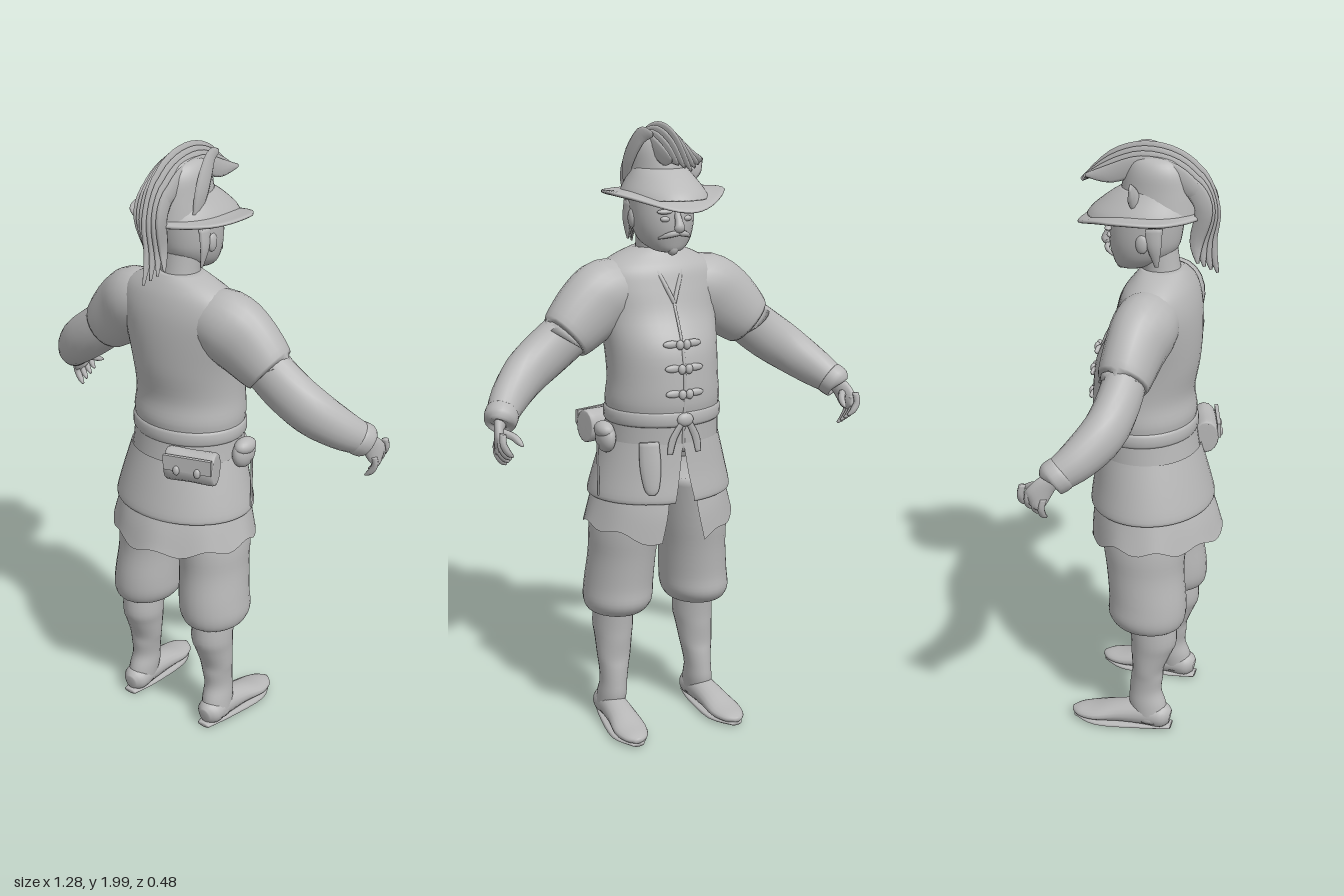
import * as THREE from 'three';

const V = (x, y, z) => new THREE.Vector3(x, y, z);
const UP = V(0, 1, 0);

// Smooth interpolation through rows of numbers
function refine(rows, steps) {
  const out = [], last = rows.length - 1;
  for (let i = 0; i < last; i++) {
    const [a, b, c, d] = [rows[Math.max(i - 1, 0)], rows[i], rows[i + 1], rows[Math.min(i + 2, last)]];
    for (let s = 0; s < steps; s++) {
      const t = s / steps;
      out.push(b.map((_, k) => b[k] + 0.5 * t * (c[k] - a[k] +
        t * (2 * a[k] - 5 * b[k] + 4 * c[k] - d[k] + t * (3 * (b[k] - c[k]) + d[k] - a[k])))));
    }
  }
  out.push(rows[last]);
  return out;
}

// Surface through rings of points; closed rings get end caps
function skin(rings, closed = true) {
  const n = rings[0].length, pts = rings.flat(), index = [];
  for (let i = 0; i < rings.length - 1; i++)
    for (let j = 0; j < (closed ? n : n - 1); j++) {
      const a = i * n + j, b = i * n + (j + 1) % n;
      index.push(a, a + n, b, b, a + n, b + n);
    }
  if (closed) for (const end of [0, rings.length - 1]) {
    const mid = V(0, 0, 0), c = pts.length, base = end * n;
    rings[end].forEach(p => mid.addScaledVector(p, 1 / n));
    pts.push(mid);
    for (let j = 0; j < n; j++) {
      const a = base + j, b = base + (j + 1) % n;
      end ? index.push(c, b, a) : index.push(c, a, b);
    }
  }
  const g = new THREE.BufferGeometry().setFromPoints(pts);
  g.setIndex(index);
  g.computeVertexNormals();
  return g;
}

// Upright loft. Rows, bottom to top: [y, centre x, centre z, half width, half depth, front gap]
function loft(rows, { n = 32, open = false, hem = null, steps = 4 } = {}) {
  const rings = refine(rows, steps).map(([y, cx, cz, rx, rz, gap = 0], i) =>
    Array.from({ length: n }, (_, j) => {
      const a = open ? gap + (2 * Math.PI - 2 * gap) * j / (n - 1) : 2 * Math.PI * j / n;
      const p = V(cx + rx * Math.sin(a), y, cz - rz * Math.cos(a));
      return hem ? hem(p, a, i) : p;
    }));
  return skin(rings, !open);
}

// Loft along a path. Rows: [x, y, z, half width sideways, half height]
function limb(rows, { n = 14, steps = 4, side = null } = {}) {
  const s = refine(rows, steps), at = i => V(...s[Math.min(Math.max(i, 0), s.length - 1)]);
  return skin(s.map(([x, y, z, rs, ru], i) => {
    const T = at(i + 1).sub(at(i - 1)).normalize();
    const S = side ? side.clone() : T.clone().cross(UP).normalize();
    const U = S.clone().cross(T).normalize();
    return Array.from({ length: n }, (_, j) => {
      const a = 2 * Math.PI * j / n;
      return V(x, y, z).addScaledVector(S, rs * Math.cos(a)).addScaledVector(U, ru * Math.sin(a));
    });
  }));
}

export function createModel() {
  const model = new THREE.Group();
  const clay = new THREE.MeshStandardMaterial({ color: 0xb8b8b8, side: THREE.DoubleSide });
  clay.name = 'clayGrey';
  const add = (name, geo, parent = model, pos = [0, 0, 0], scale = [1, 1, 1]) => {
    const m = new THREE.Mesh(geo, clay);
    m.name = name;
    m.position.set(...pos);
    m.scale.set(...scale);
    parent.add(m);
    return m;
  };
  const ball = new THREE.SphereGeometry(1, 20, 14);

  // Tunic body, split skirt and belt
  add('tunicBody', loft([
    [0.97, 0, -0.01, 0.193, 0.168], [1.08, 0, -0.02, 0.187, 0.163], [1.13, 0, -0.022, 0.19, 0.168],
    [1.2, 0, -0.025, 0.184, 0.163], [1.3, 0, -0.01, 0.187, 0.165], [1.4, 0, 0.018, 0.2, 0.142],
    [1.48, 0, 0.028, 0.215, 0.127], [1.54, 0, 0.03, 0.2, 0.11], [1.58, 0, 0.035, 0.14, 0.085],
    [1.605, 0, 0.035, 0.075, 0.066]], { n: 40 }));
  add('tunicSkirt', loft([
    [0.805, 0, 0.005, 0.236, 0.196, 0.14], [0.82, 0, 0.005, 0.242, 0.202, 0.13],
    [0.9, 0, 0, 0.222, 0.187, 0.07], [1.0, 0, -0.01, 0.194, 0.169, 0.01]], { n: 44, open: true }));
  add('belt', loft([
    [1.055, 0, -0.02, 0.186, 0.163], [1.065, 0, -0.02, 0.194, 0.17],
    [1.095, 0, -0.02, 0.194, 0.17], [1.105, 0, -0.02, 0.186, 0.163]], { n: 40, steps: 2 }));

  // Shirt tail with a ragged hem, open at the front
  add('shirtTail', loft([
    [0.715, 0, 0.012, 0.256, 0.206, 0.3], [0.78, 0, 0.008, 0.238, 0.198, 0.24],
    [0.84, 0, 0.005, 0.222, 0.183, 0.2]], {
    n: 64, open: true,
    hem: (p, a, i) => {
      const k = Math.max(0, 1 - i / 8), back = Math.max(0, -Math.cos(a));
      p.z += k * 0.022 * back ** 8;
      p.y += k * (0.01 * Math.sin(a * 9) - 0.05 * Math.max(0, Math.cos(a)) ** 3 - 0.015 * back);
      return p;
    },
  }));

  // Neckline, front seam and toggles
  for (const s of [-1, 1])
    add('neckline', limb([[s * 0.066, 1.595, 0.0, 0.008, 0.008], [s * 0.04, 1.535, -0.072, 0.008, 0.008],
      [0, 1.44, -0.112, 0.007, 0.007]], { n: 8 }));
  add('frontSeam', limb([[0, 1.44, -0.11, 0.005, 0.004], [0, 1.32, -0.168, 0.005, 0.004],
    [0, 1.2, -0.189, 0.005, 0.004], [0, 1.0, -0.179, 0.005, 0.004]], { n: 8, side: V(1, 0, 0) }));
  [[1.32, -0.17], [1.245, -0.185], [1.165, -0.19]].forEach(([y, z]) => {
    const toggle = new THREE.Group();
    toggle.name = 'toggle';
    toggle.position.set(0, y, z);
    model.add(toggle);
    for (const s of [-1, 1]) {
      add('toggleLoop', ball, toggle, [s * 0.038, 0, 0.003], [0.028, 0.012, 0.009]);
      add('toggleBead', ball, toggle, [s * 0.012, -0.002, -0.008], [0.013, 0.016, 0.01]);
    }
  });
  add('beltKnot', ball, model, [0, 1.08, -0.192], [0.028, 0.022, 0.014]);
  for (const s of [-1, 1])
    add('beltEnd', limb([[s * 0.01, 1.075, -0.195, 0.012, 0.005], [s * 0.04, 1.02, -0.188, 0.014, 0.005],
      [s * 0.05, 0.97, -0.186, 0.01, 0.004]], { n: 8, side: V(1, 0, 0) }));

  // Purse at the back, round pouch at the side, flat sheath at the front
  const purse = new THREE.Group();
  purse.name = 'backPurse';
  purse.position.set(0.135, 1.01, 0.145);
  purse.rotation.y = 0.3;
  model.add(purse);
  add('purseBag', limb([[-0.082, 0, 0, 0.03, 0.045], [-0.075, 0, 0, 0.042, 0.056], [0, 0, 0, 0.047, 0.053],
    [0.075, 0, 0, 0.042, 0.056], [0.082, 0, 0, 0.03, 0.045]], { n: 16 }), purse);
  add('purseFlap', new THREE.BoxGeometry(0.16, 0.05, 0.012), purse, [0, 0.022, 0.042]);
  for (const s of [-1, 1]) add('purseButton', ball, purse, [s * 0.035, 0, 0.05], [0.011, 0.016, 0.009]);
  add('sidePouch', ball, model, [0.207, 1.01, -0.035], [0.03, 0.05, 0.05]);
  add('pouchFlap', ball, model, [0.212, 1.035, -0.035], [0.03, 0.028, 0.045]);
  add('pouchCord', new THREE.CylinderGeometry(0.004, 0.004, 0.17, 6), model, [0.236, 0.905, -0.04]);
  const sheath = add('sheath', limb([[0, 0.08, 0, 0.032, 0.01], [0, 0, 0, 0.034, 0.012],
    [0, -0.07, 0, 0.024, 0.01], [0, -0.09, 0, 0.01, 0.005]], { n: 12, side: V(1, 0, 0) }), model, [0.11, 0.93, -0.167]);
  sheath.rotation.set(0.14, -0.5, 0);

  // Limbs, built on the left and mirrored
  for (const s of [1, -1]) {
    const half = new THREE.Group();
    half.name = s > 0 ? 'leftLimbs' : 'rightLimbs';
    half.scale.x = s;
    model.add(half);
    add('upperSleeve', limb([[0.08, 1.47, 0.03, 0.09, 0.085], [0.17, 1.46, 0.027, 0.1, 0.115],
      [0.24, 1.415, 0.015, 0.09, 0.115], [0.32, 1.345, 0.003, 0.08, 0.092], [0.326, 1.34, 0.002, 0.066, 0.074]], { n: 22 }), half);
    add('forearmSleeve', limb([[0.28, 1.375, 0.005, 0.066, 0.078], [0.38, 1.3, 0.005, 0.066, 0.08],
      [0.47, 1.235, -0.015, 0.064, 0.076], [0.545, 1.175, -0.07, 0.056, 0.064],
      [0.59, 1.135, -0.125, 0.046, 0.05]], { n: 20 }), half);
    add('cuff', limb([[0.577, 1.147, -0.107, 0.044, 0.048], [0.581, 1.143, -0.112, 0.052, 0.055],
      [0.597, 1.127, -0.136, 0.049, 0.052], [0.6, 1.123, -0.14, 0.03, 0.032]], { n: 20 }), half);
    add('palm', limb([[0.593, 1.13, -0.13, 0.02, 0.026], [0.607, 1.105, -0.155, 0.016, 0.034],
      [0.616, 1.07, -0.18, 0.015, 0.038], [0.614, 1.05, -0.193, 0.01, 0.03]]), half);
    for (let f = 0; f < 4; f++) {
      const z = -0.15 - f * 0.021, y = 1.04 + f * 0.013;
      add('finger', limb([[0.617, y + 0.03, z - 0.005, 0.011, 0.011], [0.619, y, z - 0.012, 0.011, 0.011],
        [0.604, y - 0.028, z - 0.012, 0.01, 0.01], [0.588, y - 0.042, z - 0.008, 0.004, 0.004]],
        { n: 8, side: V(0, 0, 1) }), half);
    }
    add('thumb', limb([[0.6, 1.1, -0.165, 0.013, 0.013], [0.578, 1.092, -0.195, 0.012, 0.012],
      [0.568, 1.08, -0.22, 0.01, 0.01], [0.564, 1.072, -0.24, 0.004, 0.004]], { n: 8 }), half);

    add('breeches', loft([
      [0.395, 0.148, 0.03, 0.075, 0.085], [0.405, 0.147, 0.03, 0.097, 0.112], [0.44, 0.143, 0.025, 0.113, 0.13],
      [0.5, 0.138, 0.025, 0.113, 0.13], [0.6, 0.13, 0.015, 0.11, 0.13], [0.7, 0.122, 0.01, 0.113, 0.14],
      [0.86, 0.1, 0.005, 0.105, 0.15]], { n: 28 }), half);
    add('boot', loft([
      [0.03, 0.168, 0.045, 0.045, 0.06], [0.09, 0.163, 0.032, 0.047, 0.064], [0.14, 0.16, 0.024, 0.045, 0.055],
      [0.19, 0.157, 0.028, 0.05, 0.055], [0.23, 0.155, 0.032, 0.057, 0.054], [0.29, 0.152, 0.042, 0.062, 0.068],
      [0.34, 0.15, 0.05, 0.067, 0.078], [0.42, 0.15, 0.045, 0.064, 0.08]], { n: 22 }), half);
    add('foot', limb([[0.164, 0.042, 0.112, 0.02, 0.025], [0.165, 0.046, 0.085, 0.045, 0.044],
      [0.167, 0.05, 0.02, 0.046, 0.046], [0.171, 0.043, -0.07, 0.05, 0.036], [0.177, 0.031, -0.15, 0.056, 0.024],
      [0.181, 0.027, -0.205, 0.04, 0.017], [0.183, 0.027, -0.232, 0.012, 0.008]], { n: 18 }), half);
    add('sole', limb([[0.164, 0.008, 0.115, 0.025, 0.008], [0.167, 0.008, 0.02, 0.046, 0.008],
      [0.177, 0.008, -0.14, 0.06, 0.008], [0.182, 0.011, -0.225, 0.02, 0.007]], { n: 12 }), half);

    // Face details on each side
    add('ear', ball, half, [0.096, 1.7, -0.005], [0.012, 0.03, 0.02]);
    add('eye', ball, half, [0.038, 1.705, -0.123], [0.016, 0.009, 0.01]);
    add('brow', ball, half, [0.04, 1.728, -0.125], [0.026, 0.008, 0.013]);
    add('moustache', limb([[0, 1.663, -0.143, 0.008, 0.009], [0.03, 1.657, -0.135, 0.008, 0.009],
      [0.055, 1.645, -0.11, 0.003, 0.003]], { n: 8 }), half);
    add('hairLock', limb([[0.093, 1.75, 0.03, 0.008, 0.03], [0.098, 1.69, 0.035, 0.008, 0.022],
      [0.09, 1.63, 0.04, 0.003, 0.006]], { n: 8, side: V(1, 0, 0) }), half);
  }

  // Head and neck
  add('neck', loft([[1.54, 0, 0.035, 0.075, 0.07], [1.6, 0, 0.03, 0.064, 0.062], [1.68, 0, 0.01, 0.07, 0.07]]));
  add('head', loft([
    [1.597, 0, -0.07, 0.025, 0.025], [1.605, 0, -0.06, 0.05, 0.052], [1.63, 0, -0.037, 0.078, 0.085],
    [1.67, 0, -0.024, 0.094, 0.108], [1.72, 0, -0.018, 0.1, 0.115], [1.79, 0, -0.01, 0.1, 0.115]]));
  add('nose', limb([[0, 1.725, -0.128, 0.009, 0.009], [0, 1.695, -0.143, 0.013, 0.013],
    [0, 1.677, -0.148, 0.018, 0.014], [0, 1.668, -0.138, 0.01, 0.006]], { n: 10, side: V(1, 0, 0) }));
  add('goatee', ball, model, [0, 1.612, -0.098], [0.02, 0.024, 0.018]);

  // Hat: dipping pointed brim, folded band and tall crown
  const dip = p => {
    p.y += 0.9 * p.x * p.x - 0.5 * Math.max(0, -p.z - 0.05) ** 2 + 0.9 * Math.max(0, p.z) ** 2;
    p.x *= 1 - 1.6 * Math.max(0, Math.abs(p.z) - 0.08);
    return p;
  };
  add('hatBrim', loft([
    [1.762, 0, -0.01, 0.085, 0.1], [1.75, 0, -0.025, 0.15, 0.165], [1.748, 0, -0.035, 0.192, 0.195],
    [1.758, 0, -0.035, 0.192, 0.195], [1.768, 0, -0.025, 0.15, 0.165], [1.785, 0, -0.01, 0.085, 0.1]],
    { n: 48, hem: dip }));
  add('hatFold', loft([
    [1.765, 0, -0.03, 0.135, 0.175], [1.79, 0, -0.025, 0.125, 0.16], [1.83, 0, -0.01, 0.1, 0.125],
    [1.855, 0, 0.005, 0.084, 0.1]], { n: 40 }));
  add('hatCrown', loft([
    [1.77, 0, 0.02, 0.1, 0.125], [1.85, 0, 0.02, 0.088, 0.115], [1.91, 0, 0.02, 0.08, 0.1],
    [1.945, 0, 0.015, 0.06, 0.075], [1.958, 0, 0.01, 0.025, 0.03]], { n: 32 }));
  add('hatTuft', limb([[-0.08, 1.8, -0.02, 0.01, 0.015], [-0.105, 1.85, -0.03, 0.012, 0.03],
    [-0.13, 1.885, -0.03, 0.004, 0.012]], { n: 8 }));
  add('hatSideFeather', limb([[0.085, 1.79, 0.06, 0.006, 0.02], [0.09, 1.87, 0.04, 0.008, 0.035],
    [0.075, 1.95, -0.02, 0.007, 0.03], [0.06, 1.96, -0.08, 0.003, 0.008]], { n: 8, side: V(1, 0, 0) }));

  // Plume: flat feathers fanning over the crown and hanging down the back
  for (let i = -3; i <= 3; i++) {
    const x = i * 0.014, k = Math.abs(i) * 0.012, side = V(1, 0, 0);
    add('plumeFeather', limb([[x * 0.6, 1.8, 0.16, 0.005, 0.012], [x, 1.89 - k, 0.15, 0.007, 0.026],
      [x, 1.945 - k, 0.08, 0.008, 0.032], [x, 1.965 - k, -0.02, 0.007, 0.029],
      [x, 1.932 - k, -0.12, 0.006, 0.028], [x * 1.2, 1.86 + k * 0.8, -0.225 + k * 0.8, 0.003, 0.006]], { n: 8, side }));
    add('plumeTail', limb([[x, 1.95 - k, 0.07, 0.006, 0.02], [x, 1.9 - k, 0.145, 0.007, 0.03],
      [x, 1.8, 0.188 - k * 0.4, 0.007, 0.028], [x * 0.7, 1.7, 0.185 - k, 0.006, 0.022],
      [x * 0.9, 1.6 + k, 0.21 - k * 1.5, 0.003, 0.005]], { n: 8, side }));
  }
  return model;
}
